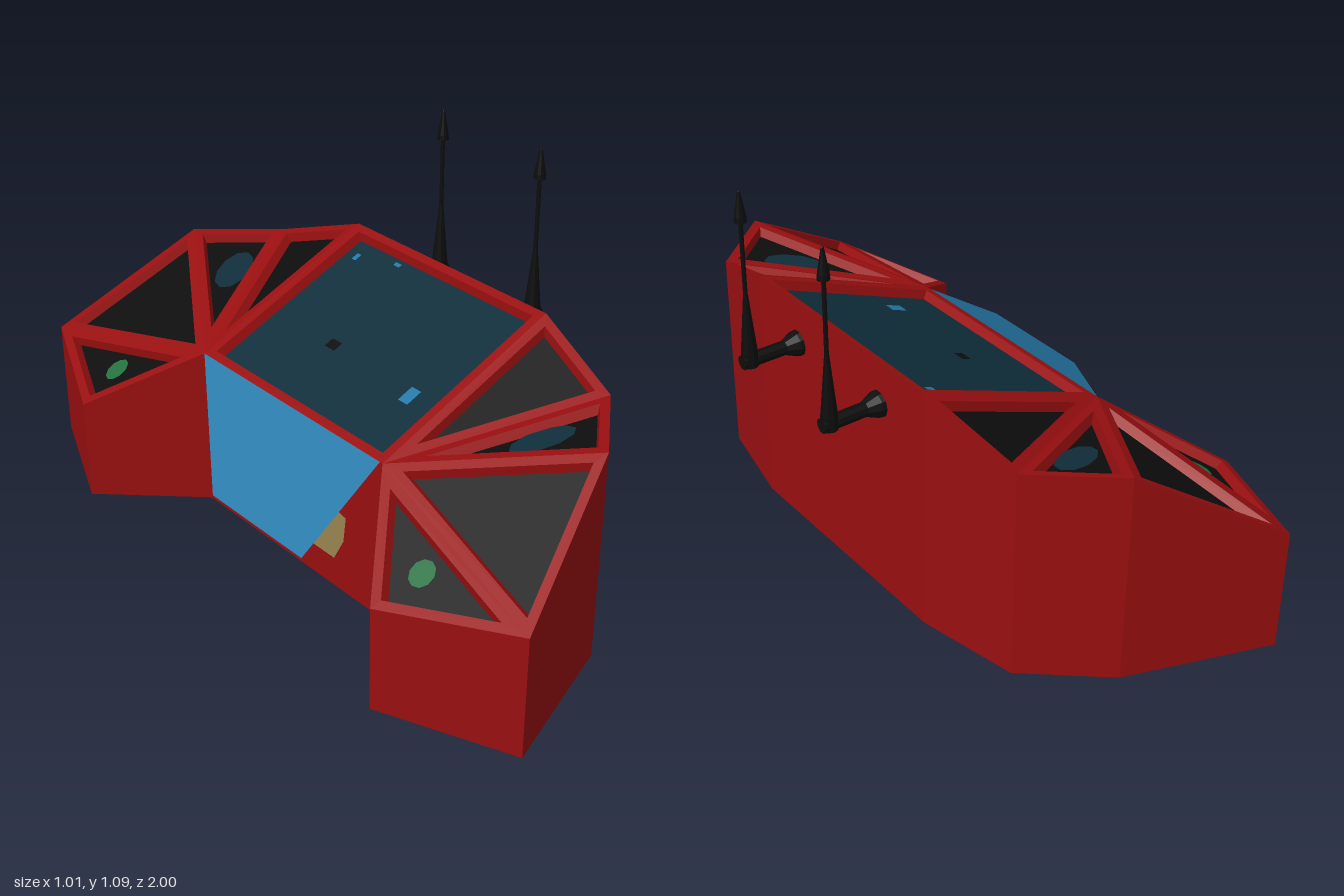
import * as THREE from 'three';

const mat = (name, color, side = THREE.FrontSide) => {
  const m = new THREE.MeshStandardMaterial({ color, side });
  m.name = name;
  return m;
};
const V = (x, y, z) => new THREE.Vector3(x, y, z);
const UP = V(0, 1, 0), DOWN = V(0, -1, 0);

// area normal of a planar polygon
function normalOf(pts) {
  const n = V(0, 0, 0);
  pts.forEach((p, i) => n.add(p.clone().cross(pts[(i + 1) % pts.length])));
  return n.normalize();
}

// one flat-faced mesh from polygons [points, outward hint]
function faceMesh(name, material, polys) {
  const pos = [];
  for (const [pts, hint] of polys) {
    const p = normalOf(pts).dot(hint) < 0 ? [...pts].reverse() : pts;
    for (let i = 1; i < p.length - 1; i++) {
      for (const q of [p[0], p[i], p[i + 1]]) pos.push(q.x, q.y, q.z);
    }
  }
  const g = new THREE.BufferGeometry();
  g.setAttribute('position', new THREE.Float32BufferAttribute(pos, 3));
  g.computeVertexNormals();
  const mesh = new THREE.Mesh(g, material);
  mesh.name = name;
  return mesh;
}

// shrink a convex polygon within its plane and sink it
function inset(pts, d, depth) {
  let n = normalOf(pts);
  if (n.y < 0) n.negate();
  const k = pts.length;
  return pts.map((p, i) => {
    const u = pts[(i + 1) % k].clone().sub(p).normalize();
    const v = pts[(i + k - 1) % k].clone().sub(p).normalize();
    const s = u.clone().cross(v).length();
    return p.clone().addScaledVector(u.add(v), d / s).addScaledVector(n, -depth);
  });
}

// drop plan points [x, z] onto a panel plane, slightly raised
function onPanel(panel, plan) {
  const n = normalOf(panel), o = panel[0];
  return plan.map(([x, z]) => V(x, o.y - (n.x * (x - o.x) + n.z * (z - o.z)) / n.y + 0.004, z));
}

function oval(cx, cz, a, b, turn, sides = 10) {
  return Array.from({ length: sides }, (_, i) => {
    const t = (i / sides) * Math.PI * 2, c = Math.cos(t) * a, s = Math.sin(t) * b;
    return [cx + c * Math.cos(turn) - s * Math.sin(turn), cz + c * Math.sin(turn) + s * Math.cos(turn)];
  });
}

const rect = (x, z, w, d) => [[x - w, z - d], [x + w, z - d], [x + w, z + d], [x - w, z + d]];

export function createModel() {
  const root = new THREE.Group();
  root.name = 'controlConsole';
  const red = mat('red', 0x990f10);
  const black = mat('black', 0x0d0d0d);
  const screenBlue = mat('screenBlue', 0x102e3c);
  const blue = mat('blue', 0x2478a8, THREE.DoubleSide);
  const green = mat('green', 0x237040);
  const tan = mat('tan', 0x9a8650);

  // rim corners of one wing, from the inner pivot round to the tall back
  const wing = (s) => [
    V(-0.25, 0.49, 0.38 * s), V(-0.51, 0.31, 0.63 * s), V(-0.35, 0.36, 1.0 * s),
    V(0.06, 0.62, 0.85 * s), V(0.27, 0.62, 0.67 * s), V(0.33, 0.72, 0.38 * s),
  ];
  const L = wing(1), R = wing(-1);
  const floor = (p) => V(p.x, 0, p.z);

  // outer walls
  const outline = [...L, ...R.slice(1).reverse(), R[0]];
  const body = outline.map((a, i) => {
    const b = outline[(i + 1) % outline.length];
    return [[a, b, floor(b), floor(a)], V(a.z - b.z, 0, b.x - a.x)];
  });

  // one framed recess per sector of the sloping top
  const sectors = [{ pts: [L[0], L[5], R[5], R[0]], kind: 'screen' }];
  for (const [w, s] of [[L, 1], [R, -1]]) {
    for (let i = 1; i < 5; i++) sectors.push({ pts: [w[0], w[i], w[i + 1]], kind: i, s });
  }
  for (const { pts, kind, s } of sectors) {
    body.push([pts.map(floor), DOWN]);
    const rim = inset(pts, 0.026, 0), panel = inset(pts, 0.036, 0.025);
    const mid = panel.reduce((a, p) => a.add(p), V(0, 0, 0)).divideScalar(panel.length);
    pts.forEach((p, i) => {
      const j = (i + 1) % pts.length;
      body.push([[p, pts[j], rim[j], rim[i]], UP]);
      const edge = rim[i].clone().add(rim[j]).multiplyScalar(0.5);
      body.push([[rim[i], rim[j], panel[j], panel[i]], mid.clone().sub(edge).add(V(0, 0.05, 0))]);
    });
    const patch = (name, m, plan) => root.add(faceMesh(name, m, [[onPanel(panel, plan), UP]]));
    if (kind === 'screen') {
      root.add(faceMesh('mainScreen', screenBlue, [[panel, UP]]));
      patch('screenMark', blue, rect(-0.04, 0.25, 0.025, 0.018));
      patch('screenMark', blue, rect(0.25, -0.3, 0.012, 0.008));
      patch('screenMark', blue, rect(0.285, -0.16, 0.006, 0.012));
      patch('screenMark', black, rect(-0.02, -0.085, 0.015, 0.02));
    } else {
      root.add(faceMesh('wingPanel', black, [[panel, UP]]));
      if (kind === 1) patch('greenLight', green, oval(-0.37, 0.66 * s, 0.034, 0.034, 0));
      if (kind === 3) patch('wingDisplay', screenBlue, oval(0.055, 0.64 * s, 0.09, 0.046, 0.42 * s));
    }
  }
  root.add(faceMesh('consoleBody', red, body));

  // sloping flap over the operator's bay
  root.add(faceMesh('frontFlap', blue, [[[
    V(-0.25, 0.49, -0.38), V(-0.51, 0.315, 0), V(-0.51, 0.315, 0.37), V(-0.25, 0.49, 0.37),
  ], UP]]));

  // painted marks on the inner wall, as [z, y]
  const marks = [
    [[-0.22, 0.4], [-0.13, 0.34], [-0.22, 0.22], [-0.315, 0.25]],
    [[-0.315, 0.25], [-0.22, 0.22], [-0.11, 0.11], [-0.19, 0.09], [-0.315, 0.16]],
    [[0.15, 0.27], [0.24, 0.25], [0.23, 0.17], [0.13, 0.19]],
    [[0.13, 0.19], [0.23, 0.17], [0.19, 0.095], [0.064, 0.095]],
  ];
  root.add(faceMesh('wallMarks', tan,
    marks.map((m) => [m.map(([z, y]) => V(-0.254, y, z)), V(-1, 0, 0)])));

  // two aerials on bent arms at the back
  const lathe = (name, prof) => {
    const g = new THREE.LatheGeometry(prof.map(([r, h]) => new THREE.Vector2(r, h)), 10).toNonIndexed();
    g.computeVertexNormals();
    const m = new THREE.Mesh(g, black);
    m.name = name;
    return m;
  };
  for (const z of [0.19, -0.19]) {
    const aerial = new THREE.Group();
    aerial.name = 'aerial';
    const arm = lathe('aerialArm', [[0, 0], [0.038, 0], [0.036, 0.01], [0.021, 0.045], [0.021, 0.175], [0, 0.175]]);
    arm.rotation.z = -Math.PI / 2;
    arm.position.set(0.33, 0.595, z);
    const rod = lathe('aerialRod', [[0, 0.575], [0.024, 0.58], [0.023, 0.62], [0.006, 0.8], [0.006, 1.0],
      [0.017, 1.005], [0.016, 1.02], [0.004, 1.09], [0, 1.093]]);
    rod.position.set(0.482, 0, z);
    aerial.add(arm, rod);
    root.add(aerial);
  }
  return root;
}
